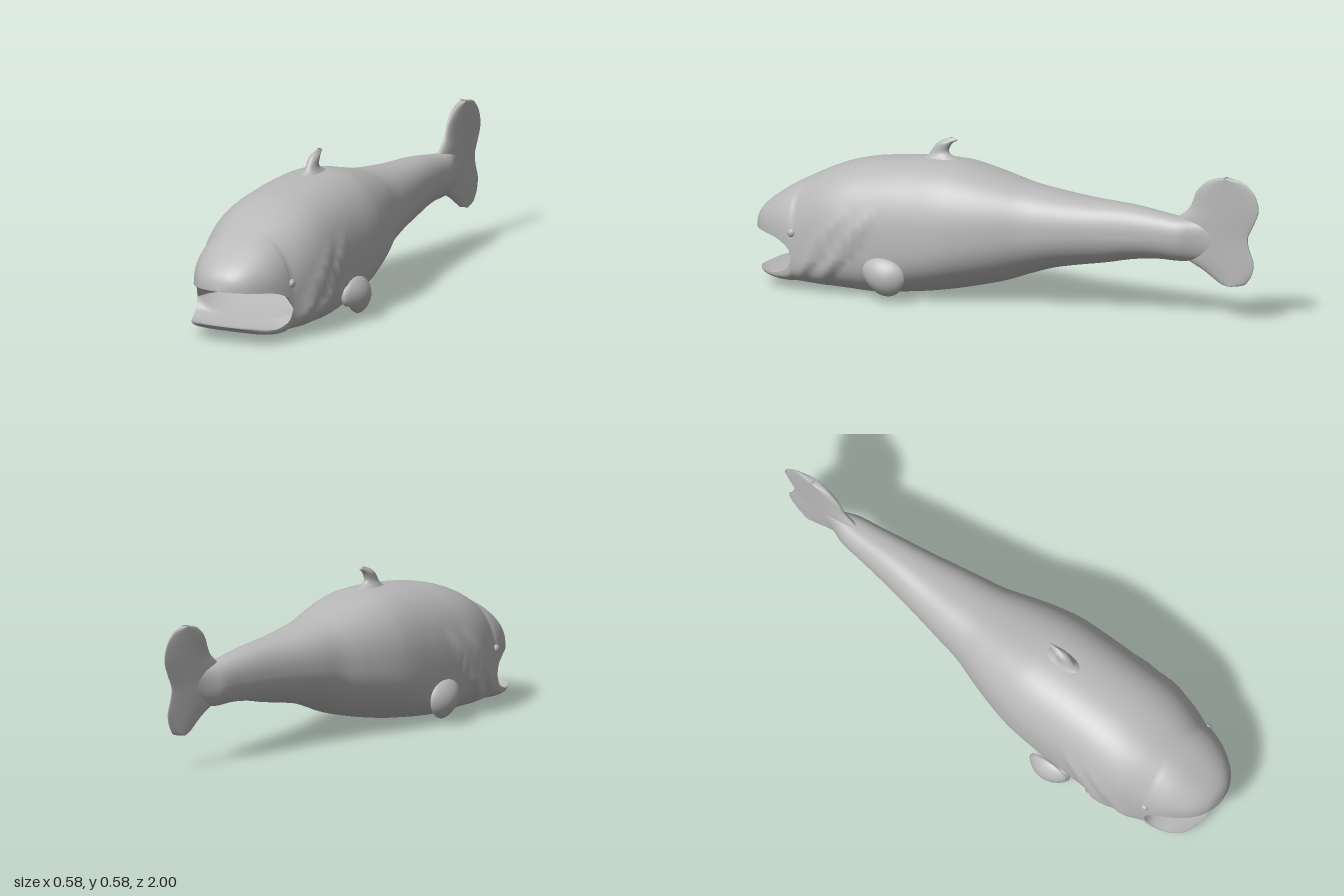
import * as THREE from 'three';
import { mergeGeometries, mergeVertices } from 'three/addons/utils/BufferGeometryUtils.js';

const skin = new THREE.MeshStandardMaterial({ color: 0xb8b8b8, side: THREE.DoubleSide });
skin.name = 'grey skin';

// Smooth lookup in a table of [key, value] pairs
function curve(table) {
  const n = table.length - 1;
  const slope = i => {
    const a = table[Math.max(i - 1, 0)], b = table[Math.min(i + 1, n)];
    return (b[1] - a[1]) / (b[0] - a[0]);
  };
  return k => {
    let i = 0;
    while (i < n - 1 && k > table[i + 1][0]) i++;
    const [k0, v0] = table[i], [k1, v1] = table[i + 1], h = k1 - k0;
    const t = Math.min(1, Math.max(0, (k - k0) / h)), t2 = t * t, t3 = t2 * t;
    return v0 * (2 * t3 - 3 * t2 + 1) + v1 * (3 * t2 - 2 * t3)
      + h * (slope(i) * (t3 - 2 * t2 + t) + slope(i + 1) * (t3 - t2));
  };
}

// Surface through a grid of points
function grid(rows, cols, point) {
  const pos = [], index = [];
  for (let i = 0; i <= rows; i++) for (let j = 0; j <= cols; j++) {
    pos.push(...point(i, j / cols));
    if (i < rows && j < cols) {
      const a = i * (cols + 1) + j, c = a + cols + 1;
      index.push(a, c, a + 1, a + 1, c, c + 1);
    }
  }
  const g = new THREE.BufferGeometry();
  g.setAttribute('position', new THREE.Float32BufferAttribute(pos, 3));
  g.setIndex(index);
  return g;
}

function part(name, ...geometries) {
  const g = mergeVertices(mergeGeometries(geometries), 1e-5);
  g.computeVertexNormals();
  const mesh = new THREE.Mesh(g, skin);
  mesh.name = name;
  return mesh;
}

// Body profiles along z
const CORNER = 0.79, NOSE = 1, CHIN = 0.96, TAIL = -0.93;
const top = curve([[-0.93, 0.3], [-0.8, 0.35], [-0.67, 0.37], [-0.5, 0.395], [-0.3, 0.41], [-0.1, 0.437],
  [0, 0.46], [0.1, 0.485], [0.2, 0.503], [0.35, 0.503], [0.5, 0.49], [0.6, 0.473], [0.7, 0.44], [0.8, 0.392],
  [0.86, 0.36], [0.93, 0.313], [0.97, 0.278], [0.99, 0.248], [1, 0.207]]);
const bottom = curve([[-0.93, 0.28], [-0.8, 0.225], [-0.7, 0.205], [-0.6, 0.205], [-0.5, 0.195], [-0.4, 0.175],
  [-0.2, 0.14], [-0.1, 0.11], [0, 0.075], [0.1, 0.05], [0.2, 0.03], [0.3, 0.015], [0.48, 0.002], [0.6, 0.01],
  [0.79, 0.02], [0.85, 0.025], [0.9, 0.035], [0.93, 0.046], [0.96, 0.064]]);
const width = curve([[-0.93, 0.002], [-0.8, 0.02], [-0.75, 0.036], [-0.7, 0.056], [-0.6, 0.07], [-0.4, 0.1],
  [-0.2, 0.137], [-0.1, 0.155], [0, 0.187], [0.1, 0.215], [0.2, 0.234], [0.35, 0.24], [0.5, 0.24], [0.62, 0.238],
  [0.7, 0.226], [0.79, 0.2], [0.85, 0.18], [0.9, 0.155], [0.95, 0.117], [0.98, 0.077], [0.994, 0.04], [1, 0]]);
const jawWidth = curve([[0.79, 0.2], [0.85, 0.185], [0.9, 0.165], [0.93, 0.14], [0.95, 0.1], [0.957, 0.05], [0.96, 0]]);
const middle = curve([[-0.93, 0.29], [-0.7, 0.29], [-0.3, 0.28], [0, 0.25], [0.3, 0.21], [0.6, 0.2], [0.7, 0.175], [0.79, 0.12]]);
const upperLip = curve([[0.79, 0.12], [0.8, 0.15], [0.82, 0.168], [0.86, 0.187], [0.9, 0.195], [0.95, 0.2], [1, 0.205]]);
const lowerLip = curve([[0.79, 0.12], [0.8, 0.092], [0.82, 0.073], [0.87, 0.058], [0.92, 0.061], [0.95, 0.067], [0.96, 0.065]]);
const bellyPower = curve([[-0.93, 2], [-0.2, 2], [0.3, 2.5], [0.7, 3.7], [0.96, 3.2]]);

// Raised gill covers, each with a sharp rear edge
function gill(y, z) {
  const fade = Math.max(0, 1 - ((y - 0.16) / 0.17) ** 2);
  const ridge = (edge, h) => {
    const d = z - edge + 0.78 * y;
    return h * Math.exp(-((d / (d > 0 ? 0.05 : 0.012)) ** 2));
  };
  return z > CORNER ? 0 : fade * (ridge(0.69, 0.018) + ridge(0.79, 0.015)) * Math.min(1, (CORNER - z) / 0.06);
}

const BODY = 140, HEAD = 30;
const along = (i, end) => i <= BODY
  ? TAIL + (CORNER - TAIL) * i / BODY
  : CORNER + (end - CORNER) * Math.sin((i - BODY) / HEAD * Math.PI / 2);
const sgnPow = (v, p) => Math.sign(v) * Math.abs(v) ** p;

// Half of the skin: an arch from lip to lip, over the back or under the belly
function halfSkin(upper) {
  return grid(BODY + HEAD, 32, (i, v) => {
    const z = along(i, upper ? NOSE : CHIN), front = i > BODY;
    const w = front && !upper ? jawWidth(z) : width(z);
    const mid = front ? (upper ? upperLip : lowerLip)(z) : middle(z);
    const p = 2 / (upper ? 2.4 : bellyPower(z)), a = Math.PI * v;
    const c = v === 0.5 ? 0 : sgnPow(Math.cos(a), p);
    const s = v === 0 || v === 1 ? 0 : Math.sin(a) ** p;
    const y = mid + ((upper ? top(z) : bottom(z)) - mid) * s;
    const x = c * (w + gill(y, z));
    return [upper ? -x : x, y, z];
  });
}

// Mouth lining: palate or floor, closing in the throat
const palate = curve([[0.6, 0.12], [0.65, 0.155], [0.72, 0.185], [0.79, 0.2], [0.9, 0.208], [1, 0.205]]);
const floor = curve([[0.6, 0.12], [0.65, 0.105], [0.72, 0.085], [0.79, 0.07], [0.9, 0.055], [0.96, 0.065]]);
function lining(upper) {
  const THROAT = 16;
  return grid(THROAT + HEAD, 24, (i, v) => {
    const back = i < THROAT, q = Math.PI / 2 * i / THROAT;
    const z = back ? CORNER - 0.19 * Math.cos(q) : along(BODY + i - THROAT, upper ? NOSE : CHIN);
    const w = back ? 0.2 * Math.sin(q) : (upper ? width : jawWidth)(z);
    const edge = back ? 0.12 : (upper ? upperLip : lowerLip)(z);
    const s = Math.sin((v - 0.5) * Math.PI);
    const y = edge + ((upper ? palate : floor)(z) - edge) * (1 - s ** 4);
    return [upper ? -s * w : s * w, y, z];
  });
}

// Upright fin: lens sections stacked in y from front, back and thickness profiles
function uprightFin(name, table, thickness) {
  const col = k => curve(table.map(r => [r[0], r[k]]));
  const front = col(1), back = col(2), y0 = table[0][0], y1 = table[table.length - 1][0], ROWS = 40;
  return part(name, grid(ROWS, 28, (i, v) => {
    const y = y0 + (y1 - y0) * (1 - Math.cos(Math.PI * i / ROWS)) / 2, a = v === 1 ? 0 : v * 2 * Math.PI;
    const f = front(y), b = back(y);
    const z = (f + b) / 2 + (f - b) / 2 * Math.cos(a);
    return [-thickness(y, z) * Math.sin(a), y, z];
  }));
}

// Cupped paddle fin standing off the flank
function paddle(side) {
  const g = new THREE.SphereGeometry(1, 28, 20), p = g.attributes.position;
  for (let i = 0; i < p.count; i++) {
    const x = p.getX(i), y = p.getY(i), z = p.getZ(i);
    const r2 = y * y + z * z, narrow = 1 + 0.15 * y;
    p.setXYZ(i, side * (0.272 + 0.02 * x - 0.022 * r2), 0.095 + 0.07 * y, 0.392 + 0.083 * z * narrow + 0.012 * y);
  }
  if (side < 0) {
    const ix = g.index.array;
    for (let i = 0; i < ix.length; i += 3) [ix[i], ix[i + 1]] = [ix[i + 1], ix[i]];
  }
  g.deleteAttribute('normal');
  g.deleteAttribute('uv');
  return part(side > 0 ? 'leftFin' : 'rightFin', g);
}

function bump(name, x, y, z, sx, sy, sz) {
  const m = new THREE.Mesh(new THREE.SphereGeometry(1, 16, 12), skin);
  m.name = name;
  m.position.set(x, y, z);
  m.scale.set(sx, sy, sz);
  return m;
}

export function createModel() {
  const model = new THREE.Group();
  model.name = 'fish';
  model.add(part('body', halfSkin(true), halfSkin(false)));
  model.add(part('mouth', lining(true), lining(false)));

  model.add(uprightFin('tailFin', [[0.125, -0.88, -0.89], [0.132, -0.85, -0.935], [0.145, -0.828, -0.954],
    [0.18, -0.775, -0.975], [0.22, -0.7, -0.98], [0.27, -0.66, -0.963], [0.31, -0.65, -0.957], [0.36, -0.67, -0.98],
    [0.4, -0.718, -0.998], [0.43, -0.735, -1], [0.47, -0.752, -0.987], [0.5, -0.78, -0.962], [0.52, -0.815, -0.93],
    [0.53, -0.865, -0.875]], (y, z) => 0.006 + 0.07 * Math.max(0, z + 1) ** 1.1));

  const dorsalThickness = curve([[0.485, 0.05], [0.505, 0.032], [0.525, 0.021], [0.56, 0.017], [0.575, 0.008], [0.582, 0.003]]);
  model.add(uprightFin('dorsalFin', [[0.485, 0.38, 0.16], [0.505, 0.34, 0.205], [0.515, 0.325, 0.232],
    [0.53, 0.314, 0.245], [0.55, 0.3, 0.24], [0.565, 0.284, 0.228], [0.576, 0.262, 0.21], [0.582, 0.24, 0.225]],
  dorsalThickness));

  for (const side of [1, -1]) {
    model.add(paddle(side));
    model.add(bump('finRoot', side * 0.238, 0.1, 0.445, 0.022, 0.04, 0.035));
    model.add(bump('eye', side * 0.194, 0.215, 0.79, 0.012, 0.016, 0.016));
  }
  return model;
}
